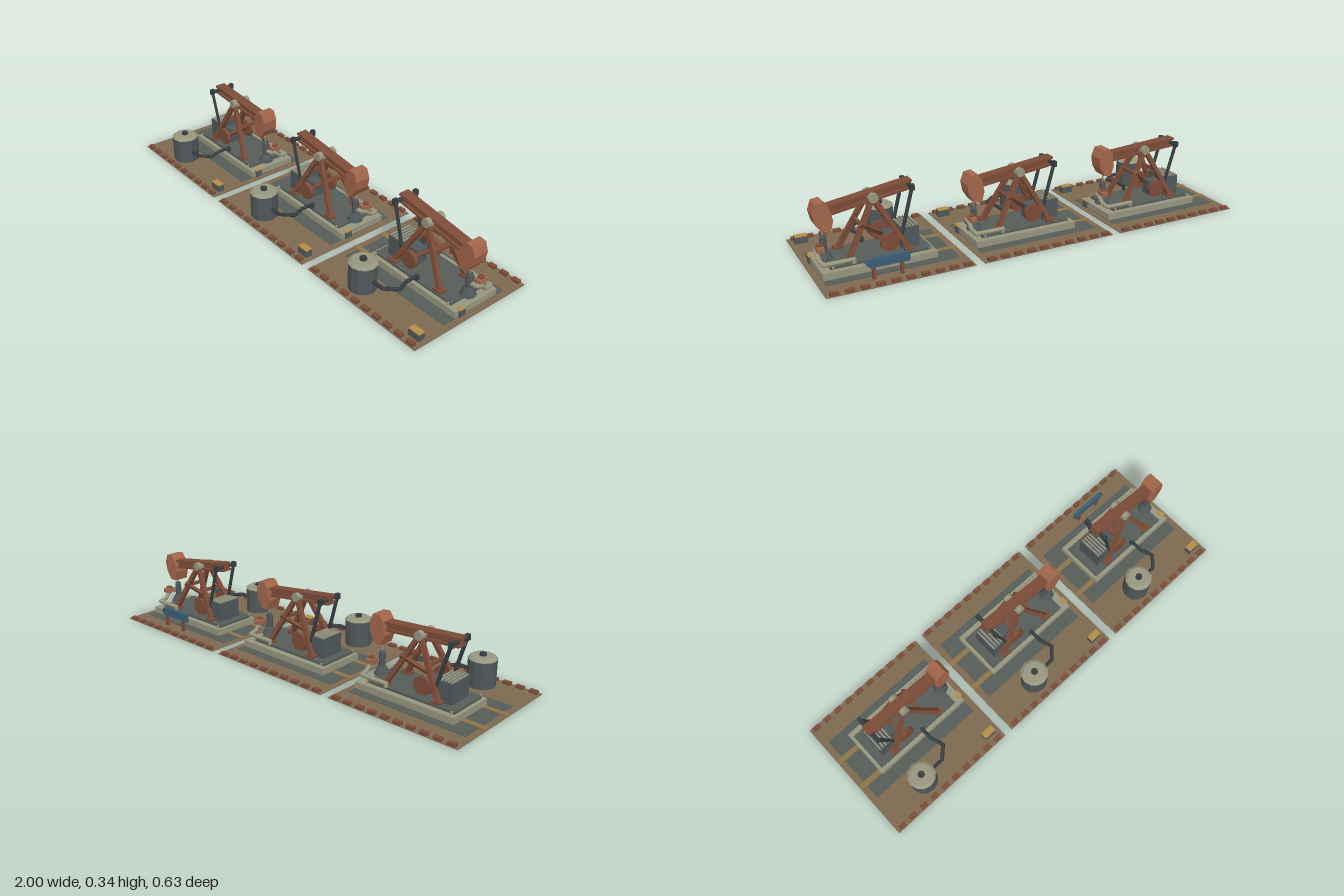
import * as THREE from 'three';

const mat = (name, color) => {
  const m = new THREE.MeshStandardMaterial({ color });
  m.name = name;
  return m;
};
const M = {
  soil: mat('soil', 0x7d6950),
  track: mat('track tan', 0x8f7448),
  gravel: mat('gravel', 0x565d58),
  concrete: mat('concrete', 0x97967f),
  steel: mat('steel', 0x50585a),
  dark: mat('dark steel', 0x363d40),
  rust: mat('rust', 0x7c4c38),
  copper: mat('copper', 0xa3664b),
  yellow: mat('yellow', 0xb58c45),
  blue: mat('sign blue', 0x3b5f75),
};
const V = (x, y, z) => new THREE.Vector3(x, y, z);
const CZ = -0.047;               // centre line of the pump
const PIVOT = V(0.035, 0.287, CZ);

// Adds a faceted mesh
function add(parent, name, geometry, material, x = 0, y = 0, z = 0) {
  const g = geometry.index ? geometry.toNonIndexed() : geometry;
  g.computeVertexNormals();
  const mesh = new THREE.Mesh(g, material);
  mesh.name = name;
  mesh.position.set(x, y, z);
  parent.add(mesh);
  return mesh;
}

// Box given by its ranges on each axis
function block(parent, name, material, [x0, x1], [y0, y1], [z0, z1]) {
  return add(parent, name, new THREE.BoxGeometry(x1 - x0, y1 - y0, z1 - z0), material,
    (x0 + x1) / 2, (y0 + y1) / 2, (z0 + z1) / 2);
}

// Bar between two points: square, or round when sides is given
function strut(parent, name, material, a, b, w, sides = 0) {
  const d = b.clone().sub(a), len = d.length();
  const geo = sides ? new THREE.CylinderGeometry(w / 2, w / 2, len, sides) : new THREE.BoxGeometry(w, len, w);
  const mesh = add(parent, name, geo, material);
  mesh.position.copy(a).add(b).multiplyScalar(0.5);
  mesh.quaternion.setFromUnitVectors(V(0, 1, 0), d.normalize());
  return mesh;
}

// Pipe made of straight runs with round elbows
function pipe(parent, name, material, points, w) {
  points.forEach((p, i) => {
    if (i) strut(parent, name, material, points[i - 1], p, w, 8);
    add(parent, name + 'Elbow', new THREE.SphereGeometry(w / 2, 8, 6), material, p.x, p.y, p.z);
  });
}

function lathe(parent, name, material, profile, sides, x, y, z) {
  return add(parent, name, new THREE.LatheGeometry(profile.map(p => new THREE.Vector2(...p)), sides), material, x, y, z);
}

function buildGround(g) {
  block(g, 'pad', M.soil, [-0.32, 0.32], [0, 0.003], [-0.315, 0.315]);
  block(g, 'gravelPatch', M.gravel, [-0.29, 0.29], [0.003, 0.005], [-0.215, 0.13]);
  for (const z of [-0.108, 0.047])
    block(g, 'trackStrip', M.track, [-0.318, -0.2], [0.003, 0.007], [z - 0.0125, z + 0.0125]);
  for (const z of [-0.303, 0.3])
    for (let i = 0; i < 10; i++) {
      const x = -0.288 + i * 0.0635;
      block(g, 'edgeBrick', M.rust, [x - 0.018, x + 0.018], [0.002, 0.016], [z - 0.01, z + 0.01]);
    }
  // concrete plinth and steel deck
  block(g, 'plinth', M.concrete, [-0.205, 0.29], [0.005, 0.035], [-0.172, 0.068]);
  block(g, 'deck', M.gravel, [-0.19, 0.25], [0.035, 0.046], [-0.145, 0.05]);
  for (const x of [-0.18, 0.24])
    for (const z of [-0.152, 0.057])
      add(g, 'anchorBolt', new THREE.CylinderGeometry(0.005, 0.005, 0.014, 6), M.concrete, x, 0.042, z);
  // small boxes with yellow lids
  for (const [xs, zs] of [[[0.24, 0.297], [0.24, 0.272]], [[0.278, 0.297], [0.014, 0.048]]]) {
    block(g, 'utilityBox', M.steel, xs, [0.003, 0.034], zs);
    block(g, 'utilityLid', M.yellow, xs, [0.034, 0.038], zs);
  }
}

function buildTank(g) {
  const x = -0.085, z = 0.215;
  lathe(g, 'tankBody', M.steel, [[0, 0.008], [0.0625, 0.008], [0.0625, 0.131]], 12, x, 0, z);
  lathe(g, 'tankRoof', M.concrete, [[0.0635, 0.129], [0.0635, 0.132], [0.05, 0.142], [0, 0.142]], 12, x, 0, z);
  add(g, 'tankCap', new THREE.CylinderGeometry(0.015, 0.016, 0.012, 8), M.dark, x, 0.148, z);
  pipe(g, 'tankPipe', M.dark, [[-0.04, 0.213], [0.03, 0.213], [0.078, 0.165], [0.057, 0.105], [0.057, 0.045]]
    .map(([px, pz]) => V(px, 0.065, pz)), 0.017);
  strut(g, 'tankPipeRiser', M.dark, V(0.057, 0.065, 0.045), V(0.057, 0.044, 0.045), 0.017, 8);
}

function buildFrame(g) {
  for (const s of [-1, 1]) {
    for (const x of [-0.095, 0.165]) {
      const foot = V(x, 0.052, CZ + s * 0.076);
      strut(g, 'frameLeg', M.rust, foot, V(0.035, 0.29, CZ + s * 0.032), 0.02);
      block(g, 'legFoot', M.rust, [x - 0.022, x + 0.022], [0.044, 0.056], [foot.z - 0.018, foot.z + 0.018]);
    }
  }
  strut(g, 'frameBrace', M.rust, V(-0.055, 0.065, 0.01), V(0.105, 0.192, -0.112), 0.016);
  for (const [x, y, h] of [[-0.026, 0.18, 0.052], [0.096, 0.18, 0.052]])
    strut(g, 'crossBar', M.rust, V(x, y, CZ - h), V(x, y, CZ + h), 0.014);
  // bearing at the top of the frame
  strut(g, 'pivotBearing', M.concrete, V(0.035, 0.287, CZ - 0.047), V(0.035, 0.287, CZ + 0.047), 0.042, 10);
}

function buildBeam(g, angle) {
  const beam = new THREE.Group();
  beam.name = 'walkingBeam';
  beam.position.copy(PIVOT);
  beam.rotation.z = angle;
  g.add(beam);
  block(beam, 'beamWeb', M.rust, [-0.178, 0.2], [-0.019, 0.019], [-0.014, 0.014]);
  for (const y of [-0.016, 0.016])
    block(beam, 'beamFlange', M.rust, [-0.18, 0.2], [y - 0.005, y + 0.005], [-0.025, 0.025]);
  // horse head
  const shape = new THREE.Shape([[0.18, -0.04], [0.2, -0.085], [0.235, -0.077], [0.255, -0.035],
    [0.257, 0.012], [0.236, 0.05], [0.202, 0.05], [0.185, 0.02]].map(p => new THREE.Vector2(...p)));
  add(beam, 'horseHead', new THREE.ExtrudeGeometry(shape, { depth: 0.074, bevelEnabled: false }), M.copper, 0, 0, -0.037);
  strut(beam, 'equalizerBar', M.dark, V(-0.165, 0, -0.06), V(-0.165, 0, 0.06), 0.018, 8);

  // cranks, counterweights and pitman arms
  const rear = V(-0.165, 0, 0).applyAxisAngle(V(0, 0, 1), angle).add(PIVOT);
  for (const s of [-1, 1]) {
    const z = CZ + s * 0.057;
    const top = V(rear.x, rear.y, z), pin = V(-0.068, 0.09, z);
    strut(g, 'pitmanArm', M.dark, top, pin, 0.016, 6);
    add(g, 'pitmanHead', new THREE.BoxGeometry(0.018, 0.026, 0.02), M.dark, top.x, top.y, z);
    strut(g, 'crankArm', M.dark, pin, V(-0.015, 0.095, z), 0.018);
    strut(g, 'counterweight', M.rust, V(-0.015, 0.095, z + s * 0.003), V(-0.015, 0.095, z + s * 0.021), 0.084, 12);
  }
  strut(g, 'crankShaft', M.steel, V(-0.04, 0.094, CZ - 0.06), V(-0.04, 0.094, CZ + 0.06), 0.02, 8);
}

function buildEngine(g) {
  block(g, 'engineHousing', M.steel, [-0.15, -0.072], [0.046, 0.138], [-0.108, 0.014]);
  for (let i = 0; i < 5; i++) {
    const x = -0.143 + i * 0.016;
    block(g, 'engineSlat', M.concrete, [x - 0.003, x + 0.003], [0.138, 0.144], [-0.104, 0.01]);
  }
  block(g, 'gearbox', M.steel, [-0.072, -0.01], [0.046, 0.115], [CZ - 0.03, CZ + 0.03]);
}

function buildWellhead(g) {
  const x = 0.247;
  lathe(g, 'wellBase', M.steel, [[0, 0.044], [0.036, 0.044], [0.034, 0.052], [0.02, 0.078], [0.015, 0.08],
    [0.015, 0.142], [0.01, 0.152], [0, 0.152]], 8, x, 0, CZ);
  strut(g, 'polishedRod', M.concrete, V(x, 0.15, CZ), V(x, 0.215, CZ), 0.007, 6);
  pipe(g, 'flowLine', M.concrete, [V(x, 0.1, CZ), V(0.283, 0.1, -0.055), V(0.285, 0.095, -0.075),
    V(0.283, 0.066, -0.105), V(0.278, 0.06, -0.143), V(0.15, 0.06, -0.143)], 0.02);
  strut(g, 'flowLineEnd', M.concrete, V(0.15, 0.06, -0.143), V(0.15, 0.044, -0.143), 0.02, 8);
  // valve
  block(g, 'valveBody', M.copper, [0.258, 0.288], [0.1, 0.12], [-0.11, -0.062]);
  add(g, 'valveWheel', new THREE.CylinderGeometry(0.014, 0.014, 0.007, 8), M.rust, 0.273, 0.126, -0.086);
}

function buildSign(g) {
  for (const x of [-0.02, 0.1])
    block(g, 'signPost', M.rust, [x - 0.007, x + 0.007], [0.003, 0.06], [-0.247, -0.234]);
  const shape = new THREE.Shape([[-0.055, 0.055], [0.115, 0.055], [0.135, 0.075], [0.115, 0.095], [-0.055, 0.095]]
    .map(p => new THREE.Vector2(...p)));
  add(g, 'signBoard', new THREE.ExtrudeGeometry(shape, { depth: 0.016, bevelEnabled: false }), M.blue, 0, 0, -0.248);
}

export function createModel() {
  const model = new THREE.Group();
  model.name = 'pumpField';
  [-4, -7, -9].forEach((degrees, i) => {
    const unit = new THREE.Group();
    unit.name = 'pumpUnit' + (i + 1);
    unit.position.x = (i - 1) * 0.68;
    buildGround(unit);
    buildTank(unit);
    buildFrame(unit);
    buildBeam(unit, THREE.MathUtils.degToRad(degrees));
    buildEngine(unit);
    buildWellhead(unit);
    if (i === 2) buildSign(unit);
    model.add(unit);
  });
  return model;
}
